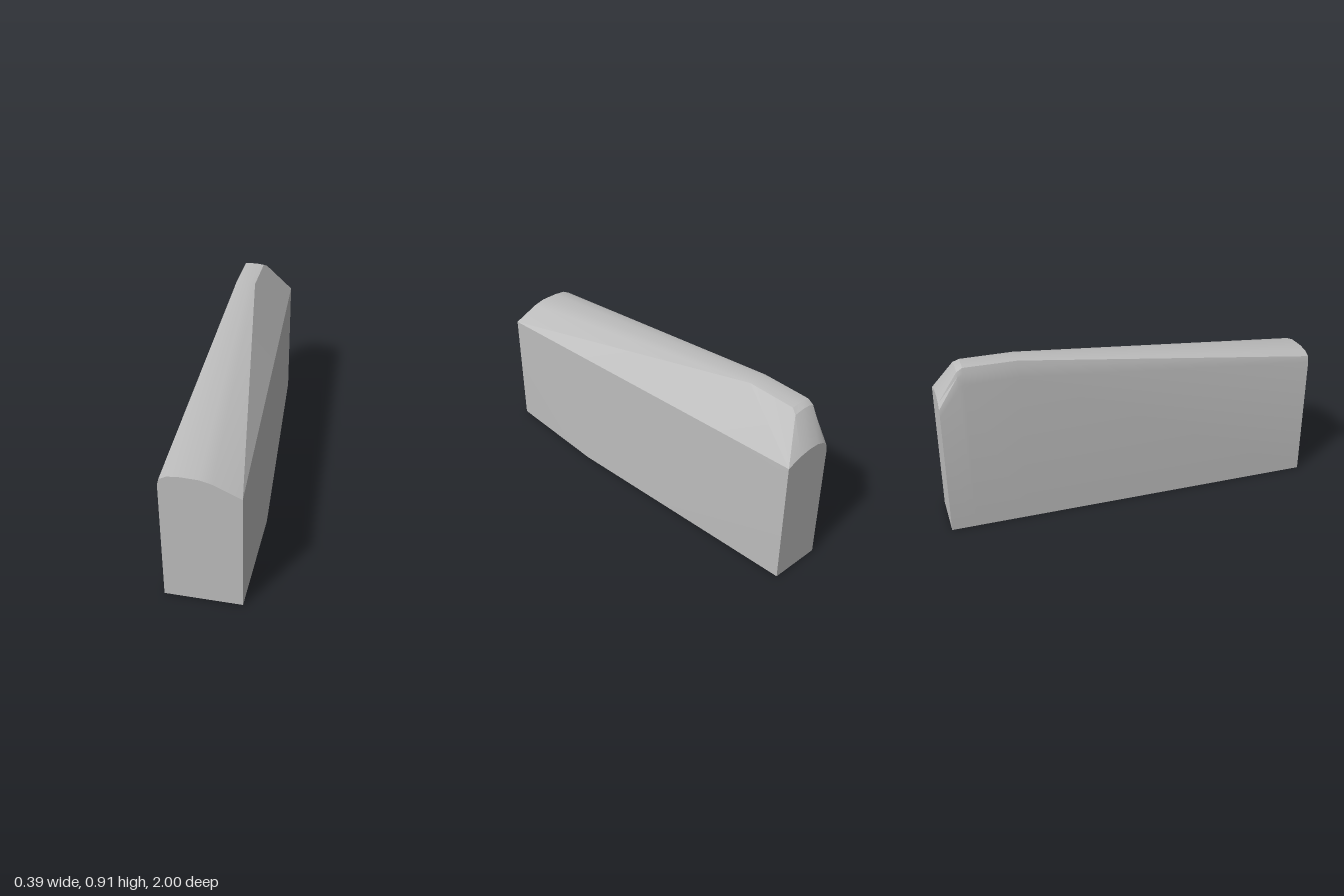
import * as THREE from 'three';
import { toCreasedNormals } from 'three/addons/utils/BufferGeometryUtils.js';

// Cross-sections from front to back; [x, y] points run from the left-hand wall foot over the roof
const SECTIONS = [
  { z: 1, pts: [[-0.195, 0], [-0.195, 0.67], [-0.187, 0.705], [-0.15, 0.725], [-0.09, 0.731], [0, 0.728], [0.06, 0.712], [0.195, 0.65]] },
  { z: -0.6, pts: [[-0.195, 0], [-0.195, 0.82], [-0.188, 0.875], [-0.18, 0.904], [-0.15, 0.908], [-0.11, 0.909], [-0.07, 0.905], [-0.07, 0.905]] },
  { z: -0.87, pts: [[-0.195, 0], [-0.195, 0.82], [-0.188, 0.875], [-0.18, 0.904], [-0.15, 0.908], [-0.11, 0.908], [-0.07, 0.904], [-0.07, 0.904]] },
  { z: -0.9, pts: [[-0.195, 0], [-0.195, 0.8], [-0.188, 0.86], [-0.18, 0.885], [-0.15, 0.893], [-0.11, 0.894], [-0.055, 0.885], [-0.055, 0.885]] },
  { z: -1, pts: [[-0.195, 0], [-0.195, 0.66], [-0.188, 0.7], [-0.165, 0.725], [-0.12, 0.74], [-0.06, 0.741], [0, 0.73], [0.08, 0.7]] },
];

export function createModel() {
  const group = new THREE.Group();
  group.name = 'wedgeBlock';
  const grey = new THREE.MeshStandardMaterial({ color: 0xbcbcbc });
  grey.name = 'plain grey';

  const positions = [];
  const tri = (a, b, c) => {
    const ab = b.clone().sub(a), ac = c.clone().sub(a);
    if (ab.cross(ac).length() > 1e-7) for (const p of [a, b, c]) positions.push(p.x, p.y, p.z);
  };
  const fan = (...p) => {
    for (let i = 1; i < p.length - 1; i++) tri(p[0], p[i], p[i + 1]);
  };

  const rings = SECTIONS.map(({ z, pts }) => pts.map(([x, y]) => new THREE.Vector3(x, y, z)));
  const last = rings.length - 1;
  const edge = rings.map((r) => r[r.length - 1]);

  // Flat wall and rounded roof
  for (let i = 0; i < last; i++) {
    for (let j = 0; j < rings[i].length - 1; j++) {
      // the flat roof facet replaces the outermost front strip
      fan(rings[i][j], rings[i][j + 1], rings[i + 1][j + 1], rings[i + 1][j]);
    }
  }

  // Sloping roof facet
  fan(edge[last], edge[3], edge[2], edge[1], edge[0]);

  // Angled wall, bent at its foot
  const footFront = new THREE.Vector3(0.195, 0, 1);
  const footBend = new THREE.Vector3(0.195, 0, 0.38);
  const footBack = new THREE.Vector3(0.08, 0, -1);
  tri(edge[0], footFront, footBend);
  tri(edge[0], footBend, edge[last]);
  tri(footBend, footBack, edge[last]);

  // Base and end faces
  fan(rings[0][0], rings[last][0], footBack, footBend, footFront);
  fan(...[...rings[0], footFront].reverse());
  fan(...rings[last], footBack);

  const geometry = new THREE.BufferGeometry();
  geometry.setAttribute('position', new THREE.Float32BufferAttribute(positions, 3));
  const block = new THREE.Mesh(toCreasedNormals(geometry, 0.42), grey);
  block.name = 'block';
  group.add(block);
  return group;
}
